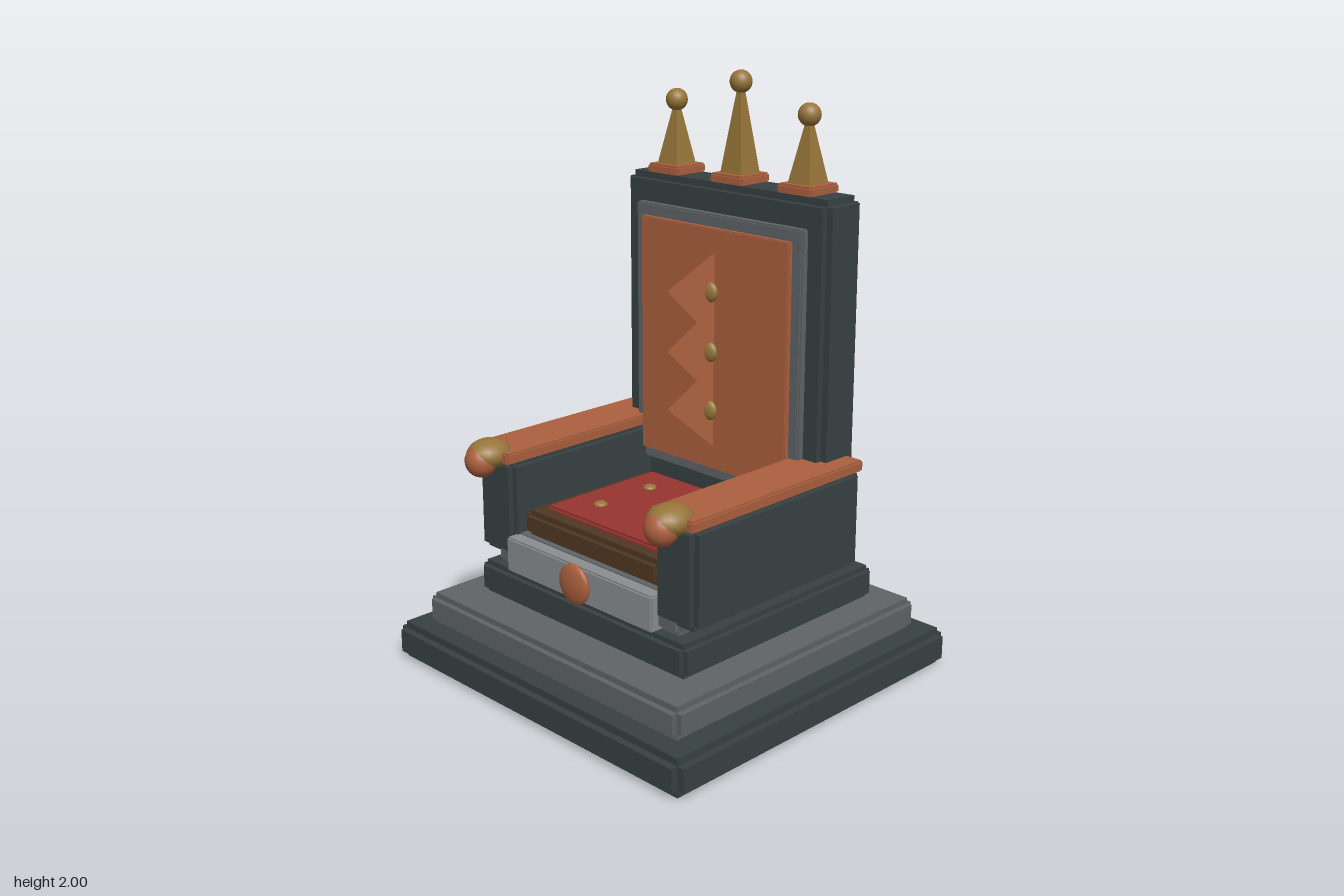
import * as THREE from 'three';
import { mergeGeometries } from 'three/addons/utils/BufferGeometryUtils.js';

const mat = (name, color) => {
  const m = new THREE.MeshStandardMaterial({ color });
  m.name = name;
  return m;
};

export function createModel() {
  const throne = new THREE.Group();
  throne.name = 'throne';

  const darkStone = mat('darkStone', 0x384142);
  const greyStone = mat('greyStone', 0x606467);
  const paleStone = mat('paleStone', 0x8a8e90);
  const copper = mat('copper', 0xac603e);
  const gold = mat('gold', 0x967539);
  const leather = mat('leather', 0x503723);
  const velvet = mat('velvet', 0x96352f);

  const add = (name, geometry, material, x = 0, y = 0, z = 0) => {
    const mesh = new THREE.Mesh(geometry, material);
    mesh.name = name;
    mesh.position.set(x, y, z);
    throne.add(mesh);
    return mesh;
  };

  // Block with stepped edges: three overlapping boxes, each full size along one axis
  const block = (name, material, [x0, x1], [y0, y1], [z0, z1], b) => {
    const w = x1 - x0, h = y1 - y0, d = z1 - z0, t = 2 * b;
    const geometry = mergeGeometries([
      new THREE.BoxGeometry(w, h - t, d - t),
      new THREE.BoxGeometry(w - t, h, d - t),
      new THREE.BoxGeometry(w - t, h - t, d),
    ]);
    return add(name, geometry, material, (x0 + x1) / 2, (y0 + y1) / 2, (z0 + z1) / 2);
  };

  // Ellipsoid with separate radii
  const ball = (name, material, x, y, z, rx, ry = rx, rz = rx) => {
    const mesh = add(name, new THREE.SphereGeometry(1, 20, 14), material, x, y, z);
    mesh.scale.set(rx, ry, rz);
    return mesh;
  };

  // Stepped dais
  block('daisBottom', darkStone, [-0.69, 0.69], [0, 0.13], [-0.657, 0.657], 0.025);
  block('daisMiddle', greyStone, [-0.607, 0.607], [0.13, 0.24], [-0.578, 0.578], 0.02);
  block('daisTop', darkStone, [-0.493, 0.493], [0.24, 0.355], [-0.485, 0.435], 0.018);

  // Seat plinth with a pale front panel and a round medallion
  block('seatPlinth', greyStone, [-0.44, 0.44], [0.355, 0.48], [-0.455, 0.4], 0.018);
  block('frontPanel', paleStone, [-0.35, 0.35], [0.355, 0.477], [0.37, 0.432], 0.006);
  ball('medallion', copper, 0, 0.415, 0.438, 0.07, 0.07, 0.021);

  // Cushion with buttons
  block('cushionBase', leather, [-0.322, 0.322], [0.48, 0.567], [-0.19, 0.378], 0.018);
  block('cushionTop', velvet, [-0.268, 0.268], [0.54, 0.582], [-0.175, 0.318], 0.008);
  for (const x of [-0.148, 0.148])
    for (const z of [-0.045, 0.185]) ball('cushionButton', gold, x, 0.582, z, 0.024, 0.012, 0.024);

  // Backrest
  block('backrest', darkStone, [-0.458, 0.458], [0.355, 1.632], [-0.412, -0.235], 0.023);
  block('backFrame', greyStone, [-0.378, 0.378], [0.615, 1.535], [-0.26, -0.208], 0.006);
  block('backPanel', copper, [-0.337, 0.337], [0.655, 1.493], [-0.23, -0.19], 0.004);

  // Toothed crest standing out diagonally from the back panel
  const crest = new THREE.Shape([
    [0, 0.74], [0.155, 0.868], [0.055, 0.97], [0.155, 1.073],
    [0.055, 1.175], [0.155, 1.28], [0, 1.412],
  ].map(([u, v]) => new THREE.Vector2(u, v)));
  const crestGeometry = new THREE.ExtrudeGeometry(crest, { depth: 0.018, bevelEnabled: false });
  crestGeometry.translate(0, 0, -0.009);
  add('crest', crestGeometry, copper, 0.014, 0, -0.19).rotation.y = -Math.PI * 0.76;
  for (const y of [0.868, 1.073, 1.28]) ball('crestGem', gold, 0, y, -0.18, 0.037, 0.037, 0.018);

  // Armrests, mirrored
  for (const s of [-1, 1]) {
    const span = (a, b) => (s > 0 ? [a, b] : [-b, -a]);
    block('armrest', darkStone, span(0.337, 0.515), [0.395, 0.735], [-0.375, 0.412], 0.02);
    block('armPad', copper, span(0.335, 0.525), [0.732, 0.77], [-0.37, 0.43], 0.006);
    ball('armKnob', gold, s * 0.43, 0.755, 0.43, 0.07, 0.051, 0.08);
    ball('armFist', copper, s * 0.43, 0.737, 0.465, 0.056, 0.057, 0.055);
  }

  // Finials: plinth, square spire and ball
  for (const [x, top] of [[-0.297, 1.88], [0, 1.962], [0.297, 1.88]]) {
    const h = top - 0.02 - 1.66;
    block('finialBase', copper, [x - 0.072, x + 0.072], [1.63, 1.663], [-0.396, -0.252], 0.007);
    const spire = new THREE.CylinderGeometry(0.012, 0.066, h, 4, 1).toNonIndexed();
    spire.rotateY(Math.PI / 4);
    spire.computeVertexNormals();
    add('finialSpire', spire, gold, x, 1.66 + h / 2, -0.324);
    ball('finialBall', gold, x, top, -0.324, 0.038);
  }

  return throne;
}
